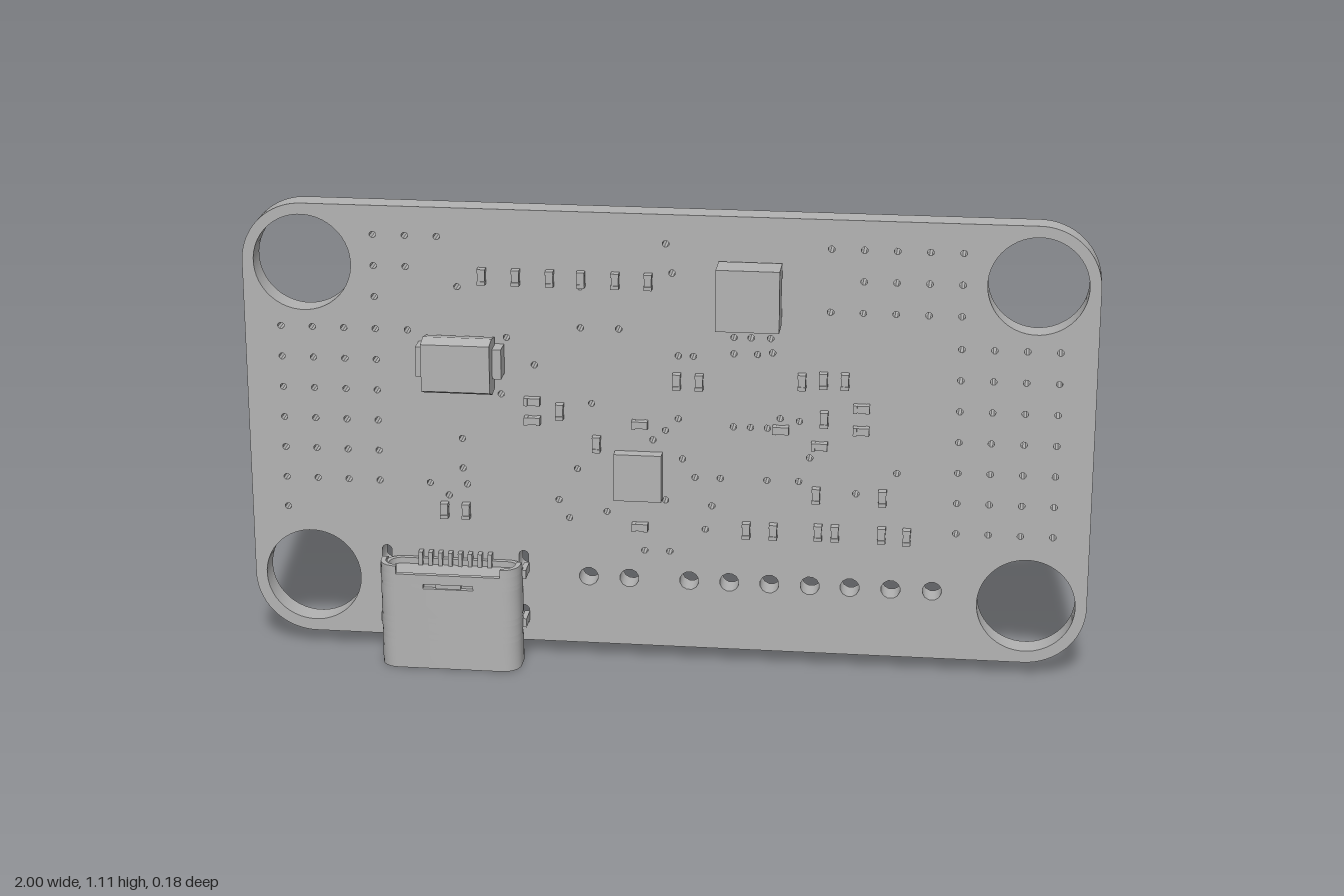
import * as THREE from 'three';
import { toCreasedNormals } from 'three/addons/utils/BufferGeometryUtils.js';

const grey = new THREE.MeshStandardMaterial({ color: 0xb3b3b3 });
grey.name = 'plain grey';
const FACE = -0.03; // front surface of the board

function add(parent, name, geometry) {
  const mesh = new THREE.Mesh(geometry, grey);
  mesh.name = name;
  parent.add(mesh);
  return mesh;
}

// Box given by its limits on each axis
function block(parent, name, x0, x1, y0, y1, z0, z1) {
  const mesh = add(parent, name, new THREE.BoxGeometry(x1 - x0, y1 - y0, z1 - z0));
  mesh.position.set((x0 + x1) / 2, (y0 + y1) / 2, (z0 + z1) / 2);
  return mesh;
}

// Round or oval hole outline
function hole(x, y, r, sides, stretch = 0) {
  const pts = [];
  for (let i = 0; i < sides; i++) {
    const a = ((i + 0.5) / sides) * Math.PI * 2;
    pts.push(new THREE.Vector2(x + r * Math.cos(a), y + r * Math.sin(a) + Math.sign(Math.sin(a)) * stretch));
  }
  return new THREE.Path(pts);
}

// Scattered vias, as x, y pairs
const VIAS = [
  -.49, .92, -.2, .83, -.11, .83, .015, .97, 0, 1.04, -.2, .93, .16, .82, .2, .82, .245, .82, .16, .78,
  .215, .78, .25, .785, .03, .77, .065, .77, -.31, .735, -.375, .8, -.31, .645, -.39, .66, 0, .585, .03, .615,
  -.03, .56, -.175, .645, -.21, .48, .16, .6, .2, .6, .24, .6, .27, .625, .315, .62, .04, .515, .07, .47,
  .34, .53, -.485, .545, -.485, .47, -.475, .43, -.565, .43, -.52, .4, -.255, .4, -.23, .355, -.14, .375, 0, .41,
  .13, .47, .11, .4, .095, .34, .01, .28, -.05, .28, .24, .47, .315, .47, .545, .5, .45, .445,
];

function buildBoard(group) {
  const x = 1, y0 = 0.035, y1 = 1.11, r = 0.145;
  const s = new THREE.Shape();
  s.absarc(x - r, y1 - r, r, 0, Math.PI / 2);
  s.absarc(-x + r, y1 - r, r, Math.PI / 2, Math.PI);
  s.absarc(-x + r, y0 + r, r, Math.PI, Math.PI * 1.5);
  s.absarc(x - r, y0 + r, r, Math.PI * 1.5, Math.PI * 2);
  s.closePath();
  const via = (px, py) => s.holes.push(hole(px, py, 0.008, 8));
  // Mounting holes
  for (const sx of [-1, 1]) for (const y of [0.18, 0.967]) s.holes.push(hole(sx * 0.857, y, 0.116, 48));
  // Header holes
  for (const px of [-.185, -.087, .057, .153, .249, .345, .44, .537, .635]) s.holes.push(hole(px, .207, .023, 12));
  // Slots for the connector legs
  for (const px of [-.675, -.342]) for (const py of [.1, .24]) s.holes.push(hole(px, py, .012, 12, .014));
  // Via grid along both short sides
  for (const sx of [-1, 1]) {
    for (let c = 0; c < 4; c++) {
      for (let row = 0; row < 7; row++) {
        if (sx < 0 && row === 6 && c < 3) continue;
        via(sx * (0.687 + c * 0.0755), 0.81 - row * 0.0758);
      }
    }
  }
  // Via grid along the top corners
  for (let row = 0; row < 3; row++) {
    const y = 1.04 - row * 0.0755;
    for (let c = 0; c < 3 - row; c++) via(-0.687 + c * 0.0755, y);
    for (let c = row === 1 ? 1 : 0; c < 5; c++) via(0.383 + c * 0.0755, y);
  }
  via(-.61, .81);
  for (let i = 0; i < VIAS.length; i += 2) via(VIAS[i], VIAS[i + 1]);
  const g = new THREE.ExtrudeGeometry(s, { depth: 0.06, bevelEnabled: false, curveSegments: 10 });
  g.translate(0, 0, -0.09);
  add(group, 'circuitBoard', toCreasedNormals(g, 0.6));
}

// Small two-terminal part with raised end caps
function chipPart(group, x, y, upright) {
  const part = new THREE.Group();
  part.name = 'smallComponent';
  block(part, 'body', -.0085, .0085, -.01, .01, 0, .017);
  for (const s of [-1, 1]) {
    const cap = block(part, 'endCap', -.0095, .0095, -.0045, .0045, 0, .02);
    cap.position.y = s * 0.0145;
  }
  part.position.set(x, y, FACE);
  if (!upright) part.rotation.z = Math.PI / 2;
  group.add(part);
}

function buildComponents(group) {
  const upright = [
    -.43, .95, -.35, .95, -.27, .95, -.197, .95, -.117, .95, -.04, .95, .027, .71, .08, .71,
    .32, .72, .37, .725, .42, .725, -.25, .625, -.163, .547, .357, .44, .513, .44, .193, .345,
    .257, .345, .363, .347, .403, .347, .513, .347, .572, .345, -.53, .365, -.478, .365, .373, .63,
  ];
  const flat = [-.315, .648, -.315, .6, -.06, .6, -.06, .343, .272, .6, .46, .66, .46, .605, .363, .563];
  for (let i = 0; i < upright.length; i += 2) chipPart(group, upright[i], upright[i + 1], true);
  for (let i = 0; i < flat.length; i += 2) chipPart(group, flat[i], flat[i + 1], false);

  // Square chip in the middle
  block(group, 'squareChip', -.12, -.007, .414, .53, FACE, 0);

  // Tall block on a slightly smaller base
  block(group, 'tallBlock', .124, .271, .858, 1.005, -.02, .052);
  block(group, 'tallBlockBase', .134, .261, .872, .99, FACE, -.02);

  // Moulded part with drafted faces and side terminals
  const profile = [[-.02, .68], [.02, .674], [.057, .689], [.057, .803], [.02, .811], [-.02, .803]];
  const shape = new THREE.Shape(profile.map(([z, y]) => new THREE.Vector2(-z, y)));
  const body = new THREE.ExtrudeGeometry(shape, { depth: .162, bevelEnabled: false });
  body.rotateY(Math.PI / 2).translate(-.564, 0, 0);
  add(group, 'mouldedPart', body);
  block(group, 'mouldedPartTerminals', -.584, -.381, .712, .784, FACE, .018);
}

// USB-style socket: walls are made from mirrored quarter bands stacked in y
function buildConnector(group) {
  const con = new THREE.Group();
  con.name = 'connector';
  const W = .168, D = .06, R = .042, T = .012;

  function quarter(name, sx, sz, zStart, xEnd, y0, y1) {
    const line = (t) => {
      const pts = [[W - t, zStart]];
      for (let i = 0; i <= 6; i++) {
        const a = (i / 6) * Math.PI / 2;
        pts.push([W - R + (R - t) * Math.cos(a), D - R + (R - t) * Math.sin(a)]);
      }
      pts.push([xEnd, D - t]);
      return pts;
    };
    const pts = [...line(0), ...line(T).reverse()];
    const shape = new THREE.Shape(pts.map(([x, z]) => new THREE.Vector2(sx * x, -sz * z)));
    const g = new THREE.ExtrudeGeometry(shape, { depth: y1 - y0, bevelEnabled: false });
    g.rotateX(-Math.PI / 2).translate(0, y0, 0);
    add(con, name, toCreasedNormals(g, 0.5));
  }

  // Each band: y range, start of the front wall in z, its end in x, and whether the back is closed
  const bands = [
    [0, .072, 0, 0, true], [.072, .088, -.006, 0, false], [.088, .115, 0, 0, true],
    [.115, .13, -.006, 0, false], [.13, .205, 0, 0, true], [.205, .216, 0, .06, true],
    [.216, .24, 0, 0, true], [.24, .26, 0, .125, true],
  ];
  for (const [y0, y1, z, x, closed] of bands) {
    for (const sx of [-1, 1]) {
      quarter('shellFront', sx, 1, z, x, y0, y1);
      if (closed && y1 < .25) quarter('shellBack', sx, -1, 0, 0, y0, y1);
    }
    if (!closed) block(con, 'shellBackPlate', -W + R, W - R, y0, y1, -D, -D + T);
  }

  // Inner housing, tongue, and the solder pins behind it
  block(con, 'housing', -.15, .15, .15, .225, -.05, .046);
  block(con, 'tongue', -.115, .115, .015, .16, -.008, .012);
  block(con, 'latch', -.03, .03, .203, .218, .044, .056);
  for (let i = 0; i < 8; i++) {
    const x = -.084 + i * .024;
    block(con, 'solderPin', x - .005, x + .005, .22, .258, -.06, -.04);
  }
  // Side legs
  for (const s of [-1, 1]) {
    for (const y of [.1, .225]) {
      const leg = block(con, 'sideLeg', -.006, .006, y - .011, y + .011, -.06, -.008);
      leg.position.x = s * .171;
    }
  }
  con.position.set(-.506, 0, .03);
  group.add(con);
}

export function createModel() {
  const model = new THREE.Group();
  model.name = 'circuitBoardModule';
  buildBoard(model);
  buildComponents(model);
  buildConnector(model);
  return model;
}
